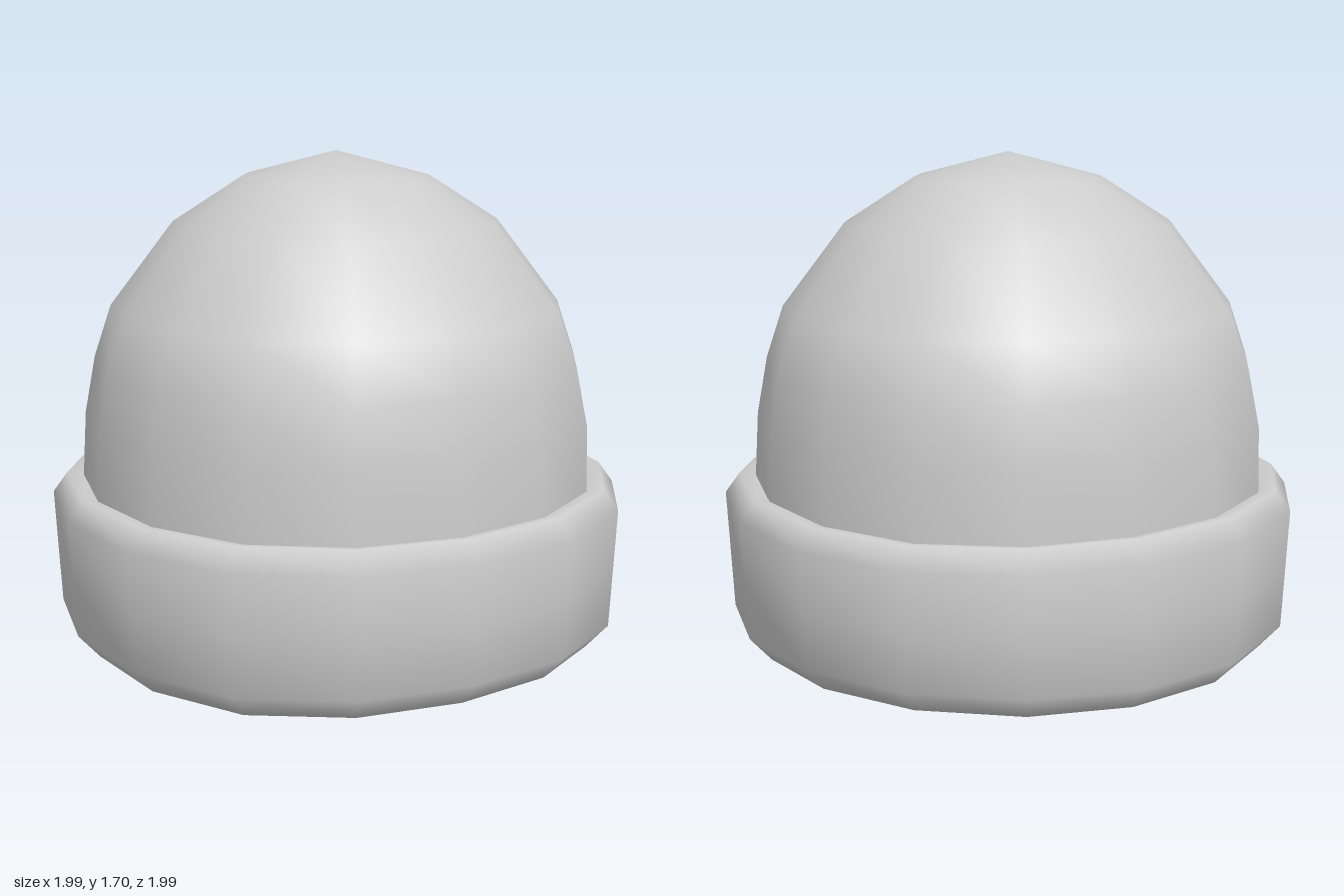
import * as THREE from 'three';
import { mergeVertices } from 'three/addons/utils/BufferGeometryUtils.js';

const SIDES = 16;

// Revolve a profile (bottom to top), apply a soft cloth deformation, and smooth it
function clothLathe(profile, deform) {
  const geo = new THREE.LatheGeometry(profile.map(([r, y]) => new THREE.Vector2(r, y)), SIDES);
  geo.deleteAttribute('uv');
  geo.deleteAttribute('normal');
  const p = geo.attributes.position;
  for (let i = 0; i < p.count; i++) {
    const x = p.getX(i), y = p.getY(i), z = p.getZ(i);
    const { scale, lift } = deform(Math.atan2(x, z), y);
    p.setXYZ(i, x * scale, y + lift, z * scale);
  }
  const merged = mergeVertices(geo, 1e-4);
  merged.computeVertexNormals();
  return merged;
}

export function createModel() {
  const hat = new THREE.Group();
  hat.name = 'knitHat';
  const wool = new THREE.MeshStandardMaterial({ color: 0xcccccc, side: THREE.DoubleSide });
  wool.name = 'grey wool';

  // Domed crown, open underneath, with gentle dents in its lower half
  const crown = new THREE.Mesh(clothLathe([
    [0.88, 0.03], [0.89, 0.3], [0.89, 0.58], [0.875, 0.8], [0.845, 1.0],
    [0.78, 1.18], [0.56, 1.47], [0.32, 1.625], [0, 1.71],
  ], (a, y) => {
    const slack = y > 0.6 && y < 1.1 ? 1 : 0.25;
    const axis = Math.cos(4 * a);
    const wave = Math.sin(3 * a + y * 7) * Math.sin(5 * a - y * 4);
    return { scale: 1.008 - 0.006 * axis + 0.018 * slack * wave * (1 - axis) / 2, lift: 0 };
  }), wool);
  crown.name = 'crown';

  // Thick folded cuff, a little fuller between the four main directions
  const cuff = new THREE.Mesh(clothLathe([
    [0.86, 0.05], [0.9, 0.015], [0.975, 0.1], [0.985, 0.3],
    [0.995, 0.51], [0.945, 0.58], [0.87, 0.565],
  ], (a, y) => ({
    scale: 1.01 - 0.009 * Math.cos(4 * a),
    lift: y < 0.2 ? 0.008 * Math.sin(3 * a + 1) : 0.004 * Math.sin(2 * a),
  })), wool);
  cuff.name = 'foldedCuff';

  hat.add(crown, cuff);
  return hat;
}
